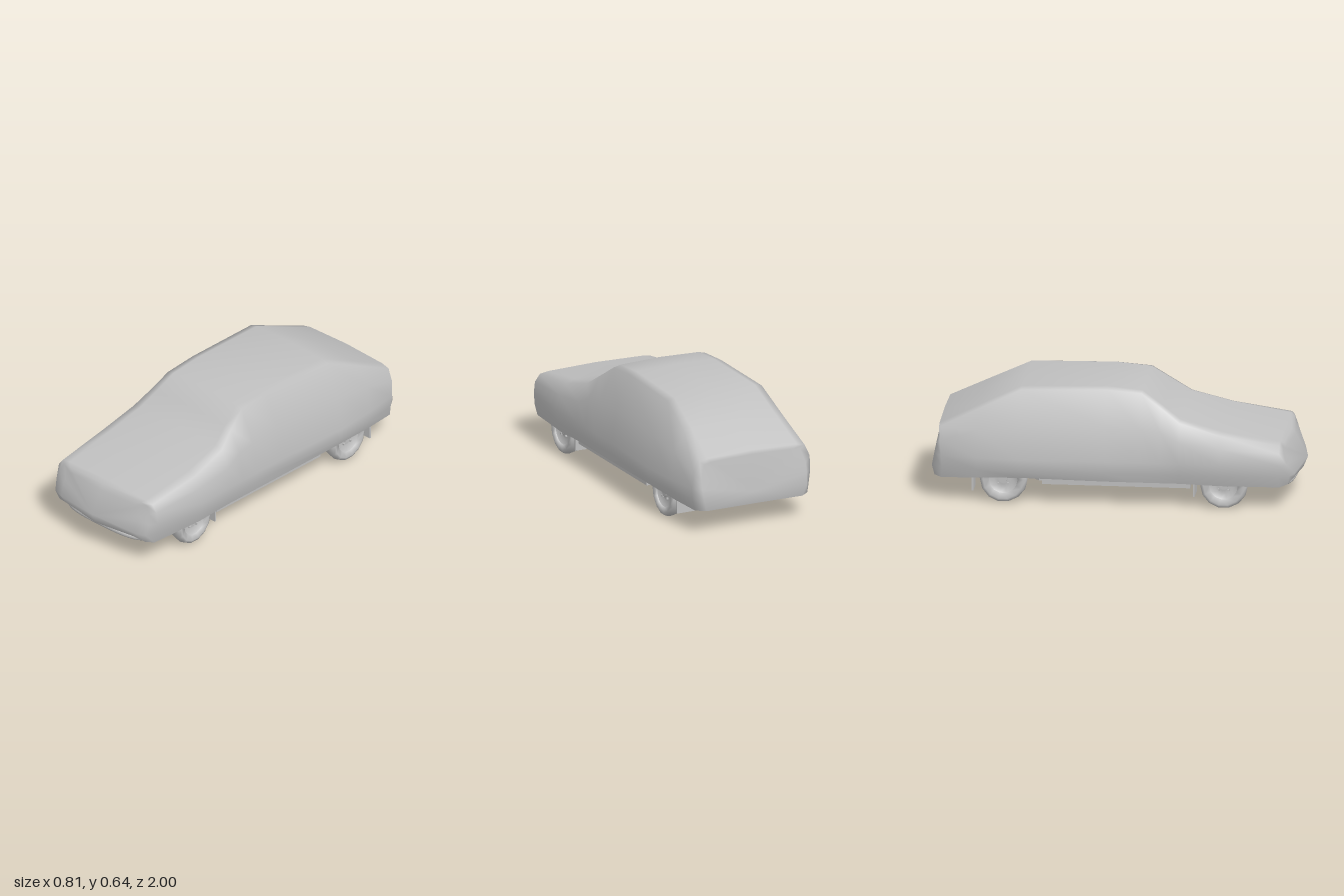
import * as THREE from 'three';

const grey = new THREE.MeshStandardMaterial({ color: 0xc0c0c0, side: THREE.DoubleSide });
grey.name = 'cover grey';

// Cover cross-sections, front to back: z, lean, bow, bottom y / half-width,
// widest half-width, belt half-width / y, roof-edge half-width / y, centre top y
const STATIONS = [
  [1.00, 0.5, 0.5, 0.16, 0.25, 0.28, 0.275, 0.28, 0.26, 0.325, 0.335],
  [0.96, 0.3, 0.2, 0.14, 0.32, 0.345, 0.335, 0.31, 0.31, 0.35, 0.362],
  [0.88, 0, 0, 0.13, 0.35, 0.372, 0.365, 0.32, 0.335, 0.36, 0.375],
  [0.56, 0, 0, 0.135, 0.375, 0.397, 0.38, 0.34, 0.345, 0.405, 0.43],
  [0.34, 0, 0, 0.14, 0.37, 0.39, 0.38, 0.37, 0.33, 0.465, 0.487],
  [0.24, 0, 0, 0.14, 0.37, 0.389, 0.367, 0.42, 0.30, 0.535, 0.555],
  [0.13, 0, 0, 0.14, 0.37, 0.388, 0.36, 0.43, 0.275, 0.61, 0.627],
  [-0.06, 0, 0, 0.14, 0.37, 0.388, 0.357, 0.44, 0.275, 0.625, 0.646],
  [-0.52, 0, 0, 0.15, 0.38, 0.404, 0.37, 0.43, 0.285, 0.615, 0.635],
  [-0.75, 0, 0, 0.14, 0.365, 0.386, 0.362, 0.40, 0.30, 0.505, 0.528],
  [-0.94, 0.1, 0, 0.13, 0.34, 0.358, 0.35, 0.34, 0.317, 0.405, 0.425],
  [-1.00, -0.2, 0, 0.13, 0.29, 0.315, 0.315, 0.31, 0.29, 0.385, 0.40],
];

function add(parent, name, geometry, x = 0, y = 0, z = 0) {
  const mesh = new THREE.Mesh(geometry, grey);
  mesh.name = name;
  mesh.position.set(x, y, z);
  parent.add(mesh);
  return mesh;
}

function box(parent, name, w, h, d, x, y, z) {
  return add(parent, name, new THREE.BoxGeometry(w, h, d), x, y, z);
}

function pipe(parent, name, radius, points, straight = false) {
  const v = points.map((p) => new THREE.Vector3(...p));
  const path = straight ? new THREE.LineCurve3(v[0], v[1]) : new THREE.CatmullRomCurve3(v);
  return add(parent, name, new THREE.TubeGeometry(path, straight ? 1 : 24, radius, 8));
}

// Draped fabric shell, open underneath
function coverGeometry() {
  const pos = [];
  const index = [];
  const N = 13;
  for (const [z, lean, bow, yb, wb, wm, ws, ys, wr, yr, yt] of STATIONS) {
    const half = [[wb, yb], [wm - 0.006, 0.19], [wm, 0.255], [ws, ys], [wr, yr], [wr * 0.85, yr + (yt - yr) * 0.55]];
    const ring = [...half, [0, yt], ...half.map(([x, y]) => [-x, y]).reverse()];
    for (const [x, y] of ring) pos.push(x, y, z - lean * Math.abs(y - 0.2) - bow * x * x);
  }
  for (let i = 0; i < STATIONS.length - 1; i++) {
    for (let j = 0; j < N - 1; j++) {
      const a = i * N + j;
      index.push(a, a + N, a + 1, a + N, a + N + 1, a + 1);
    }
  }
  // Nose and tail faces fan out from a centre point, with one low middle point
  const closeEnd = (start, y, z, lowY, lowZ, front) => {
    const c = pos.length / 3;
    pos.push(0, y, z, 0, lowY, lowZ);
    const rim = [...Array(N).keys()].map((j) => start + j).concat(c + 1);
    rim.forEach((a, k) => {
      const b = rim[(k + 1) % rim.length];
      index.push(c, ...(front ? [a, b] : [b, a]));
    });
  };
  // Rear face leans forward towards its top
  const last = (STATIONS.length - 1) * N;
  for (let j = 0; j < N; j++) pos[(last + j) * 3 + 2] = -1 + 0.2 * Math.abs(pos[(last + j) * 3 + 1] - 0.19);
  closeEnd(0, 0.21, 1.0, 0.15, 0.975, true);
  closeEnd(last, 0.2, -1.0, 0.13, -0.985, false);
  const g = new THREE.BufferGeometry();
  g.setAttribute('position', new THREE.Float32BufferAttribute(pos, 3));
  g.setIndex(index);
  g.computeVertexNormals();
  return g;
}

// Horizontal plate following the body outline
function innerFloorGeometry() {
  const right = STATIONS.slice(1, -1).map((s) => new THREE.Vector2(s[4] * 0.98, -s[0] * 0.97));
  const left = right.map((p) => new THREE.Vector2(-p.x, p.y)).reverse();
  const g = new THREE.ExtrudeGeometry(new THREE.Shape([...right, ...left]), { depth: 0.01, bevelEnabled: false });
  return g.rotateX(-Math.PI / 2);
}

function createWheel(side, z) {
  const wheel = new THREE.Group();
  wheel.name = 'wheel';
  const tyre = [[0.078, -0.03], [0.108, -0.038], [0.124, -0.03], [0.13, 0], [0.124, 0.03], [0.108, 0.038], [0.078, 0.03], [0.078, -0.03]];
  const lathe = (pts, n) => new THREE.LatheGeometry(pts.map((p) => new THREE.Vector2(...p)), n).rotateZ(-Math.PI / 2);
  add(wheel, 'tyre', lathe(tyre, 14));
  add(wheel, 'rim', lathe([[0.0, 0.012], [0.03, 0.018], [0.05, 0.008], [0.078, 0.026]], 14));
  add(wheel, 'hub', new THREE.CylinderGeometry(0.022, 0.026, 0.05, 10).rotateZ(-Math.PI / 2));
  for (let i = 0; i < 4; i++) {
    const a = (i + 0.5) * Math.PI / 2;
    box(wheel, 'wheelNut', 0.012, 0.01, 0.01, 0.018, 0.036 * Math.sin(a), 0.036 * Math.cos(a));
  }
  wheel.position.set(side * 0.328, 0.132, z);
  wheel.rotation.y = side > 0 ? 0 : Math.PI;
  return wheel;
}

function createUnderbody() {
  const under = new THREE.Group();
  under.name = 'underbody';
  add(under, 'innerFloor', innerFloorGeometry(), 0, 0.19, 0);

  // Floor pan with chamfered corners
  const pan = [[0.33, 0.4], [0.33, -0.42], [0.24, -0.5], [-0.24, -0.5], [-0.33, -0.42], [-0.33, 0.4], [-0.22, 0.48], [0.22, 0.48]];
  const shape = new THREE.Shape(pan.map(([x, z]) => new THREE.Vector2(x, -z)));
  const panGeometry = new THREE.ExtrudeGeometry(shape, { depth: 0.07, bevelEnabled: false }).rotateX(-Math.PI / 2);
  add(under, 'floorPan', panGeometry, 0, 0.125, 0);

  // Exhaust run, mid silencer and rear silencer
  pipe(under, 'exhaustPipe', 0.012, [[0.06, 0.14, 0.72], [0.04, 0.115, 0.5], [0, 0.11, 0.2], [0, 0.11, -0.35], [0.05, 0.155, -0.6], [0.12, 0.13, -0.75], [0.16, 0.13, -0.94]]);
  add(under, 'midSilencer', new THREE.CylinderGeometry(0.028, 0.028, 0.22, 12).rotateX(Math.PI / 2), 0, 0.118, 0.1);
  add(under, 'rearSilencer', new THREE.CylinderGeometry(0.035, 0.035, 0.24, 12).rotateZ(Math.PI / 2), 0.08, 0.15, -0.8);

  // Rear axle and front crossmember
  pipe(under, 'rearAxle', 0.017, [[-0.3, 0.13, -0.61], [0.3, 0.13, -0.61]], true);
  box(under, 'rearCrossmember', 0.5, 0.025, 0.035, 0, 0.14, -0.49);
  box(under, 'frontCrossmember', 0.46, 0.025, 0.06, 0, 0.115, 0.56);
  pipe(under, 'steeringRod', 0.008, [[-0.3, 0.13, 0.5], [0.3, 0.13, 0.5]], true);
  box(under, 'engineSump', 0.18, 0.08, 0.2, -0.02, 0.15, 0.7);
  box(under, 'gearbox', 0.12, 0.06, 0.22, 0, 0.14, 0.45);
  pipe(under, 'frontValance', 0.014, [[-0.33, 0.135, 0.84], [-0.24, 0.13, 0.91], [0, 0.135, 0.94], [0.24, 0.13, 0.91], [0.33, 0.135, 0.84]]);
  box(under, 'rearValance', 0.56, 0.03, 0.02, 0, 0.145, -0.95);

  for (const s of [-1, 1]) {
    box(under, 'sill', 0.03, 0.035, 0.8, s * 0.335, 0.128, 0);
    box(under, 'floorRail', 0.035, 0.016, 0.34, s * 0.17, 0.118, 0.22);
    box(under, 'floorRib', 0.02, 0.01, 0.3, s * 0.2, 0.121, -0.2);
    pipe(under, 'trailingArm', 0.012, [[s * 0.25, 0.14, -0.42], [s * 0.26, 0.125, -0.61]], true);
    pipe(under, 'axleStay', 0.009, [[s * 0.05, 0.145, -0.46], [s * 0.22, 0.13, -0.6]], true);
    pipe(under, 'frontArm', 0.012, [[s * 0.12, 0.12, 0.56], [s * 0.31, 0.115, 0.58]], true);
    pipe(under, 'frontStay', 0.009, [[s * 0.3, 0.115, 0.58], [s * 0.18, 0.13, 0.8]], true);
    pipe(under, 'damper', 0.014, [[s * 0.25, 0.11, -0.64], [s * 0.24, 0.2, -0.68]], true);
    // Mud flaps behind the wheels
    for (const z of [0.42, -0.775]) box(under, 'mudFlap', 0.12, 0.105, 0.009, s * 0.3, 0.118, z);
  }
  return under;
}

export function createModel() {
  const car = new THREE.Group();
  car.name = 'coveredCar';
  add(car, 'fabricCover', coverGeometry());
  car.add(createUnderbody());
  for (const z of [0.58, -0.61]) {
    for (const side of [-1, 1]) car.add(createWheel(side, z));
  }
  return car;
}
